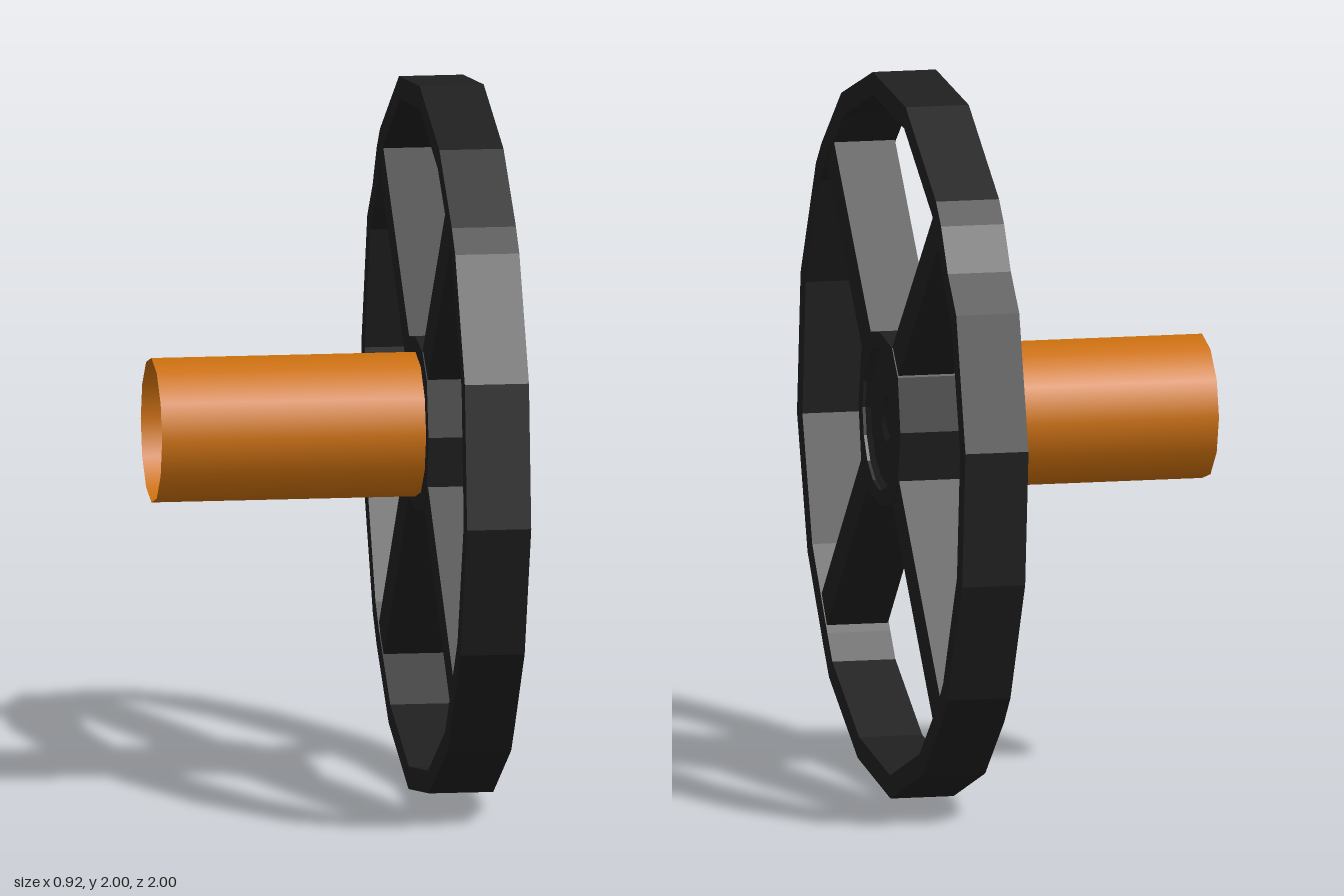
import * as THREE from 'three';

const BACK = 0.277, DEPTH = 0.179;     // wheel slab along x
const HUB_Y = 1.042, HUB_Z = 0.023;    // axle centre

const black = new THREE.MeshStandardMaterial({ color: 0x1f1f1f });
black.name = 'matte black';
const orange = new THREE.MeshStandardMaterial({ color: 0xcb6f0b, side: THREE.DoubleSide });
orange.name = 'orange';

function add(group, name, geometry, material) {
  const mesh = new THREE.Mesh(geometry, material);
  mesh.name = name;
  group.add(mesh);
}

// Clockwise outline given as [z, y] pairs; its hole must run the other way
const toPoints = (pairs) => pairs.map(([z, y]) => new THREE.Vector2(-z, y));
function slab(points, holePoints) {
  const shape = new THREE.Shape(points);
  shape.holes.push(new THREE.Path(holePoints));
  const geometry = new THREE.ExtrudeGeometry(shape, { depth: DEPTH, bevelEnabled: false });
  return geometry.rotateY(Math.PI / 2).translate(BACK, 0, 0);
}

export function createModel() {
  const model = new THREE.Group();
  model.name = 'valveHandle';
  const wheel = new THREE.Group();
  wheel.name = 'handWheel';
  model.add(wheel);

  // Faceted rim with the inner edge following the outer one
  const rim = toPoints([
    [0.10, 2.0], [-0.29, 1.965], [-0.65, 1.76], [-0.71, 1.70], [-0.79, 1.58], [-0.89, 1.48],
    [-1.0, 1.11], [-0.96, 0.73], [-0.785, 0.385], [-0.71, 0.305], [-0.485, 0.125],
    [-0.11, 0], [0.28, 0.05], [0.62, 0.22], [0.685, 0.295], [0.875, 0.53],
    [1.0, 0.90], [0.957, 1.30], [0.775, 1.635], [0.71, 1.70], [0.475, 1.88],
  ]);
  const inner = rim.map((p) => new THREE.Vector2(p.x * 0.936, 1 + (p.y - 1) * 0.936));
  add(wheel, 'rim', slab(rim, inner.reverse()), black);

  // Four spokes, each from hub edge to rim: z0, y0, z1, y1, width
  const spokes = [
    [0.19, 1.237, 0.628, 1.698, 0.117],
    [-0.155, 0.866, -0.655, 0.325, 0.115],
    [-0.16, 1.235, -0.65, 1.685, 0.1],
    [0.21, 0.86, 0.69, 0.397, 0.1],
  ];
  for (const [z0, y0, z1, y1, width] of spokes) {
    const length = Math.hypot(z1 - z0, y1 - y0);
    const geometry = new THREE.BoxGeometry(DEPTH - 0.006, length + 0.04, width);
    geometry.rotateX(Math.atan2(z1 - z0, y1 - y0));
    geometry.translate(BACK + DEPTH / 2, (y0 + y1) / 2, (z0 + z1) / 2);
    add(wheel, 'spoke', geometry, black);
  }

  // Hub collar with a round opening
  const collar = toPoints([
    [0.246, 0], [0.214, 0.155], [0.13, 0.222], [0, 0.244], [-0.15, 0.222], [-0.22, 0.15],
    [-0.25, 0], [-0.22, -0.15], [-0.14, -0.222], [0, -0.24], [0.15, -0.222], [0.214, -0.16],
  ]);
  const opening = Array.from({ length: 16 }, (_, i) => {
    const a = (i / 16) * Math.PI * 2;
    return new THREE.Vector2(Math.cos(a) * 0.2, Math.sin(a) * 0.2);
  });
  add(wheel, 'hubCollar', slab(collar, opening).translate(0, HUB_Y, HUB_Z), black);

  // Dished hub face with a small centre dimple
  const profile = [
    [0, BACK], [0.203, BACK], [0.203, 0.45], [0.185, 0.435],
    [0.065, 0.435], [0.05, 0.425], [0, 0.425],
  ].map(([r, x]) => new THREE.Vector2(r, x));
  const face = new THREE.LatheGeometry(profile, 16).toNonIndexed();
  face.computeVertexNormals();
  face.rotateZ(-Math.PI / 2).translate(0, HUB_Y, HUB_Z);
  add(wheel, 'hubFace', face, black);

  // Open-ended sleeve behind the wheel
  const sleeve = new THREE.CylinderGeometry(0.202, 0.202, 0.74, 12, 1, true);
  sleeve.rotateZ(-Math.PI / 2).translate(-0.09, HUB_Y, HUB_Z);
  add(model, 'sleeve', sleeve, orange);

  return model;
}
